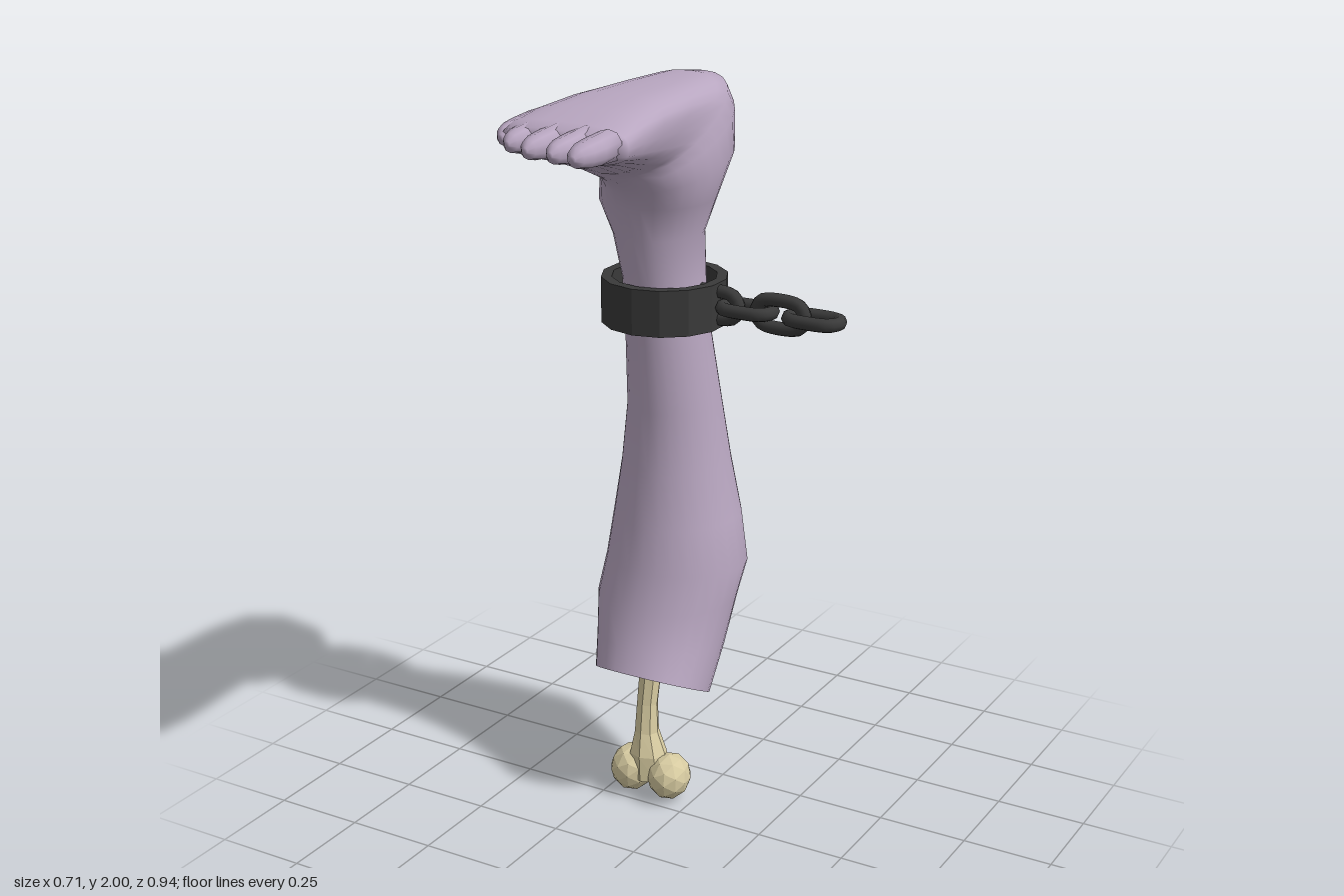
import * as THREE from 'three';

const mat = (color, extra = {}) => new THREE.MeshStandardMaterial({ color, roughness: 0.8, ...extra });

function add(parent, name, geometry, material) {
  const mesh = new THREE.Mesh(geometry, material);
  mesh.name = name;
  parent.add(mesh);
  return mesh;
}

// Skin over tilted rings: [frontY, frontZ, backY, backZ, xMin, xMax, roundness (1 = ellipse)]
function ringPoint([fy, fz, by, bz, x0, x1, e], a) {
  const pw = (v) => Math.sign(v) * Math.abs(v) ** e;
  const c = pw(Math.cos(a)), s = pw(Math.sin(a));
  return [(x0 + x1) / 2 + (x1 - x0) / 2 * s, (fy + by) / 2 + (fy - by) / 2 * c, (fz + bz) / 2 + (fz - bz) / 2 * c];
}

function loft(rings, n, capStart, capEnd) {
  const pos = [], idx = [];
  for (const r of rings) for (let j = 0; j < n; j++) pos.push(...ringPoint(r, j / n * Math.PI * 2));
  for (let i = 0; i < rings.length - 1; i++) {
    for (let j = 0; j < n; j++) {
      const a = i * n + j, b = i * n + (j + 1) % n;
      idx.push(a, b, a + n, b, b + n, a + n);
    }
  }
  const cap = (r, start, flip) => {
    const c = pos.length / 3;
    pos.push((r[4] + r[5]) / 2, (r[0] + r[2]) / 2, (r[1] + r[3]) / 2);
    for (let j = 0; j < n; j++) {
      const a = start + j, b = start + (j + 1) % n;
      if (flip) idx.push(c, b, a); else idx.push(c, a, b);
    }
  };
  if (capStart) cap(rings[0], 0, true);
  if (capEnd) cap(rings[rings.length - 1], (rings.length - 1) * n, false);
  const g = new THREE.BufferGeometry();
  g.setAttribute('position', new THREE.Float32BufferAttribute(pos, 3));
  g.setIndex(idx);
  g.computeVertexNormals();
  return g;
}

// Oval chain link lying flat in the xz plane
function linkGeometry() {
  const pts = [];
  for (let i = 0; i < 12; i++) {
    const a = (i + 0.5) / 12 * Math.PI * 2;
    pts.push(new THREE.Vector3(Math.cos(a) * 0.036 + Math.sign(Math.cos(a)) * 0.035, 0, Math.sin(a) * 0.036));
  }
  return new THREE.TubeGeometry(new THREE.CatmullRomCurve3(pts, true), 24, 0.019, 8, true);
}

export function createModel() {
  const model = new THREE.Group();
  const skin = mat(0xb8a6c0), iron = mat(0x3a3a3a), ironFlat = mat(0x3a3a3a, { flatShading: true });
  const boneMat = mat(0xd6caa0, { flatShading: true });

  // Leg from the cut below the knee, around the heel and out to the ball of the foot
  const cut = [0.42, 0.055, 0.28, -0.22, -0.295, 0.025, 0.9];
  const legRings = [
    cut,
    [0.48, 0.02, 0.42, -0.32, -0.325, 0.03, 0.95],
    [0.57, -0.015, 0.57, -0.405, -0.355, 0.038, 1],
    [0.68, -0.045, 0.65, -0.44, -0.345, 0.05, 1],
    [0.8, -0.075, 0.8, -0.435, -0.33, 0.025, 1],
    [0.95, -0.1, 0.95, -0.42, -0.308, -0.01, 1],
    [1.12, -0.11, 1.12, -0.385, -0.285, -0.03, 1],
    [1.36, -0.108, 1.36, -0.355, -0.282, -0.062, 1],
    [1.48, -0.095, 1.48, -0.35, -0.282, -0.068, 1],
    [1.6, -0.08, 1.6, -0.35, -0.305, -0.068, 1],
    [1.69, -0.055, 1.7, -0.37, -0.345, -0.03, 1],
    [1.74, -0.02, 1.83, -0.455, -0.335, -0.01, 1],
    [1.77, 0.01, 1.94, -0.468, -0.325, -0.02, 0.95],
    [1.785, 0.035, 1.99, -0.44, -0.33, -0.03, 0.9],
    [1.795, 0.05, 2.0, -0.37, -0.333, -0.035, 0.8],
    [1.81, 0.075, 2.0, -0.2, -0.337, -0.033, 0.7],
    [1.83, 0.13, 2.0, 0.0, -0.348, -0.015, 0.7],
    [1.855, 0.2, 1.992, 0.16, -0.352, 0.008, 0.7],
    [1.88, 0.285, 1.978, 0.28, -0.343, 0.024, 0.7],
    [1.9, 0.325, 1.968, 0.33, -0.31, 0.022, 0.7],
  ];
  add(model, 'legAndFoot', loft(legRings, 28, false, true), skin);

  // Red flesh closing the cut
  const flesh = loft([cut, [0.41, 0.03, 0.3, -0.2, -0.27, 0.0, 0.9]], 28, false, true);
  flesh.computeVertexNormals();
  add(model, 'cutFlesh', flesh, mat(0x700000, { side: THREE.DoubleSide }));

  // Toes: [x centre, half width, tip z]
  const toes = new THREE.Group();
  toes.name = 'toes';
  model.add(toes);
  [[-0.308, 0.036, 0.335], [-0.25, 0.036, 0.393], [-0.17, 0.037, 0.436], [-0.092, 0.036, 0.448], [-0.017, 0.041, 0.468]]
    .forEach(([x, w, tip], i) => {
      const base = tip - 0.16;
      const steps = [[0, 0.95, 0.04], [0.45, 1, 0.035], [0.72, 0.88, 0.031], [0.9, 0.6, 0.024], [1, 0.22, 0.008]];
      const rings = steps.map(([t, k, h]) => {
        const z = base + t * 0.16, y = 1.938 + (i === 4 ? 0.002 : 0) - t * 0.004;
        return [y - h, z, y + h, z, x - w * k, x + w * k, 0.9];
      });
      add(toes, 'toe' + (i + 1), loft(rings, 10, true, true), skin);
    });

  // Bone: faceted shaft flaring into two knobs
  const bone = new THREE.Group();
  bone.name = 'bone';
  model.add(bone);
  add(bone, 'boneShaft', loft([
    [0.06, -0.01, 0.06, -0.12, -0.2, -0.07, 1],
    [0.13, -0.015, 0.13, -0.115, -0.195, -0.085, 1],
    [0.19, -0.04, 0.19, -0.11, -0.185, -0.115, 1],
    [0.27, -0.06, 0.27, -0.118, -0.187, -0.125, 1],
    [0.4, -0.085, 0.4, -0.145, -0.19, -0.122, 1],
  ], 8, true, true), boneMat);
  for (const [name, x, r] of [['boneKnobRight', -0.188, 0.064], ['boneKnobLeft', -0.07, 0.062]]) {
    const knob = add(bone, name, new THREE.IcosahedronGeometry(1, 1), boneMat);
    knob.scale.set(r, r + 0.003, 0.072);
    knob.position.set(x, 0.072, -0.062);
    knob.rotation.y = 0.3;
  }

  // Iron cuff: hollow faceted band
  const profile = [[0.143, -0.063], [0.172, -0.063], [0.172, 0.063], [0.143, 0.063], [0.143, -0.063]]
    .map(([x, y]) => new THREE.Vector2(x, y));
  add(model, 'cuff', new THREE.LatheGeometry(profile, 14), ironFlat).position.set(-0.18, 1.413, -0.232);

  // Chain links alternate upright and flat
  const chain = new THREE.Group();
  chain.name = 'chain';
  model.add(chain);
  const link = linkGeometry();
  for (let i = 0; i < 4; i++) {
    const m = add(chain, 'chainLink' + (i + 1), link, iron);
    m.position.set(-0.028 + i * 0.098, 1.413, -0.236);
    m.rotation.x = i % 2 ? 0 : Math.PI / 2;
  }
  return model;
}
